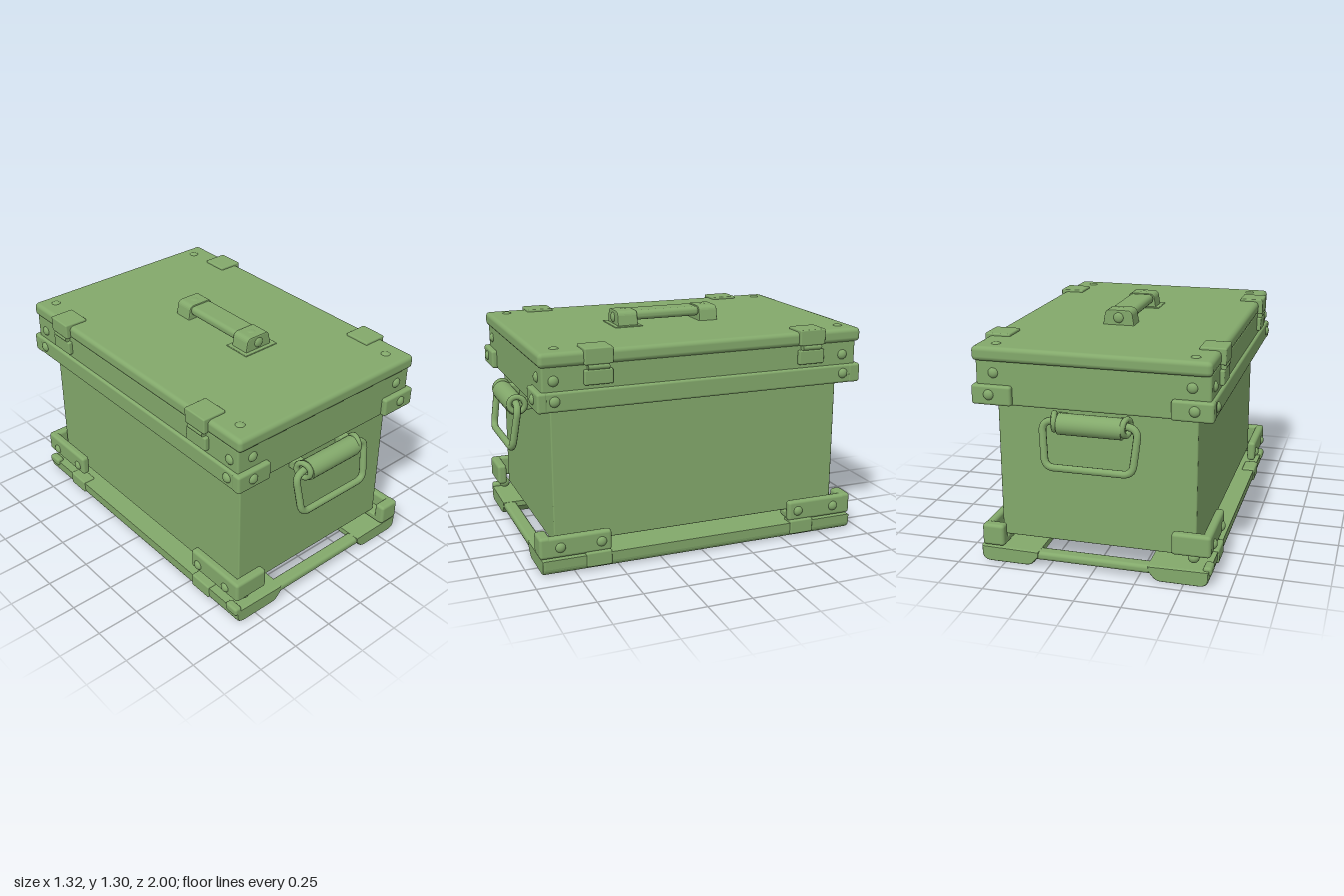
import * as THREE from 'three';
import { RoundedBoxGeometry } from 'three/addons/geometries/RoundedBoxGeometry.js';

const green = new THREE.MeshStandardMaterial({ color: 0x83a96b });
green.name = 'military green';

function add(parent, name, geometry, x = 0, y = 0, z = 0) {
  const mesh = new THREE.Mesh(geometry, green);
  mesh.name = name;
  mesh.position.set(x, y, z);
  parent.add(mesh);
  return mesh;
}

// Rounded block given by its extents on each axis
function block(parent, name, [x0, x1], [y0, y1], [z0, z1], r = 0.012) {
  const w = x1 - x0, h = y1 - y0, d = z1 - z0;
  const radius = Math.min(r, w * 0.45, h * 0.45, d * 0.45);
  return add(parent, name, new RoundedBoxGeometry(w, h, d, 2, radius),
    (x0 + x1) / 2, (y0 + y1) / 2, (z0 + z1) / 2);
}

// Domed rivet whose head points along the given direction
function rivet(parent, x, y, z, dx, dy, dz, r = 0.029, height = 0.02) {
  const geometry = new THREE.SphereGeometry(r, 14, 6, 0, Math.PI * 2, 0, Math.PI / 2);
  geometry.scale(1, height / r, 1);
  const mesh = add(parent, 'rivet', geometry, x, y, z);
  mesh.quaternion.setFromUnitVectors(new THREE.Vector3(0, 1, 0), new THREE.Vector3(dx, dy, dz));
}

// Interval mirrored when s is -1
const span = (s, a, b) => (s > 0 ? [a, b] : [-b, -a]);

function createEndHandle() {
  const handle = new THREE.Group();
  handle.name = 'endHandle';
  // Roller grip
  const roller = add(handle, 'rollerGrip', new THREE.CylinderGeometry(0.057, 0.057, 0.345, 24), 0.003, 0.833, 0.935);
  roller.rotation.z = Math.PI / 2;
  // Hinge rings with mounting lugs
  for (const s of [-1, 1]) {
    const ring = add(handle, 'hingeRing', new THREE.TorusGeometry(0.043, 0.016, 8, 24), s * 0.193, 0.843, 0.935);
    ring.rotation.y = Math.PI / 2 - s * 0.25;
    block(handle, 'hingeLug', span(s, 0.14, 0.205), [0.81, 0.87], [0.83, 0.9], 0.01);
  }
  // Bent wire bail, its corners rounded by quadratic curves
  const corners = [[0.17, 0.855, 0.94], [0.258, 0.84, 0.945], [0.235, 0.605, 0.98],
    [-0.235, 0.605, 0.98], [-0.258, 0.84, 0.945], [-0.17, 0.855, 0.94]]
    .map((p) => new THREE.Vector3(...p));
  const path = new THREE.CurvePath();
  let last = corners[0];
  for (let i = 1; i < corners.length - 1; i++) {
    const c = corners[i];
    const toward = (p) => c.clone().add(p.clone().sub(c).setLength(0.05));
    const a = toward(corners[i - 1]), b = toward(corners[i + 1]);
    path.add(new THREE.LineCurve3(last, a));
    path.add(new THREE.QuadraticBezierCurve3(a, c, b));
    last = b;
  }
  path.add(new THREE.LineCurve3(last, corners[corners.length - 1]));
  add(handle, 'bail', new THREE.TubeGeometry(path, 90, 0.02, 10));
  return handle;
}

function createTopHandle() {
  const handle = new THREE.Group();
  handle.name = 'topHandle';
  // Tapered end blocks
  for (const [z0, z1] of [[0.2, 0.32], [-0.295, -0.18]]) {
    const shape = new THREE.Shape();
    shape.moveTo(-0.085, 0);
    shape.lineTo(-0.075, 0.06);
    shape.quadraticCurveTo(-0.07, 0.08, -0.05, 0.08);
    shape.lineTo(0.05, 0.08);
    shape.quadraticCurveTo(0.07, 0.08, 0.075, 0.06);
    shape.lineTo(0.085, 0);
    const geometry = new THREE.ExtrudeGeometry(shape, {
      depth: z1 - z0 - 0.016, bevelThickness: 0.008, bevelSize: 0.006, bevelSegments: 2, curveSegments: 5,
    });
    add(handle, 'handleEnd', geometry, 0.033, 1.215, z0 + 0.008);
    rivet(handle, 0.033, 1.298, (z0 + z1) / 2, 0, 1, 0, 0.026, 0.006);
  }
  rivet(handle, 0.033, 1.258, 0.318, 0, 0, 1, 0.03, 0.015);
  rivet(handle, 0.033, 1.258, -0.293, 0, 0, -1, 0.03, 0.015);
  // Flattened grip
  block(handle, 'grip', [-0.042, 0.105], [1.243, 1.298], [-0.19, 0.21], 0.024);
  block(handle, 'handlePad', [-0.08, 0.15], [1.212, 1.222], [0.18, 0.345], 0.004);
  return handle;
}

function createLatch(s, z) {
  const latch = new THREE.Group();
  latch.name = 'latch';
  block(latch, 'latchTop', span(s, 0.515, 0.655), [1.2, 1.231], [z - 0.078, z + 0.078], 0.008);
  block(latch, 'latchFlap', span(s, 0.625, 0.657), [1.142, 1.231], [z - 0.078, z + 0.078], 0.008);
  block(latch, 'latchPlate', span(s, 0.62, 0.65), [1.035, 1.115], [z - 0.078, z + 0.078], 0.008);
  const pin = add(latch, 'latchPin', new THREE.CylinderGeometry(0.017, 0.017, 0.115, 12), s * 0.64, 1.13, z);
  pin.rotation.x = Math.PI / 2;
  return latch;
}

export function createModel() {
  const model = new THREE.Group();
  model.name = 'storageCrate';

  // Box body, collar and lid
  block(model, 'body', [-0.55, 0.535], [0.135, 1.0], [-0.86, 0.84], 0.008);
  block(model, 'collar', [-0.625, 0.625], [0.903, 1.15], [-0.925, 0.905], 0.012);
  block(model, 'lid', [-0.63, 0.64], [1.138, 1.217], [-0.95, 0.922], 0.025);

  // Skids along both sides, joined by end rails
  for (const s of [-1, 1]) {
    const outline = new THREE.Shape();
    outline.moveTo(0.31, 0.055);
    outline.lineTo(0.34, 0.02);
    outline.quadraticCurveTo(0.355, 0.005, 0.38, 0.005);
    outline.lineTo(0.58, 0.005);
    outline.quadraticCurveTo(0.625, 0.005, 0.628, 0.04);
    outline.lineTo(0.63, 0.085);
    outline.lineTo(0.31, 0.08);
    const geometry = new THREE.ExtrudeGeometry(outline, {
      depth: 1.84, bevelThickness: 0.015, bevelSize: 0.005, bevelSegments: 2, curveSegments: 6,
    });
    const skid = add(model, 'skid', geometry, 0, 0, s > 0 ? -0.925 : 0.915);
    if (s < 0) skid.rotation.y = Math.PI;
    block(model, 'endRail', [-0.34, 0.34], [0.036, 0.084], s > 0 ? [0.85, 0.928] : [-0.938, -0.86], 0.02);
  }
  // Raised lips on the right-hand skid ends
  for (const s of [-1, 1]) block(model, 'skidLip', [-0.648, -0.6], [0.06, 0.11], span(s, 0.84, 0.93), 0.015);

  for (const e of [-1, 1]) {
    // Ends of the crate: handle, collar brackets and rivets
    const handle = createEndHandle();
    if (e < 0) handle.rotation.y = Math.PI;
    model.add(handle);
    const end = e > 0 ? 0 : 0.018;
    for (const s of [-1, 1]) {
      block(model, 'collarBracket', span(s, 0.425, 0.645), [0.905, 1.012], span(e, 0.88, 0.935 + end), 0.014);
      rivet(model, s * 0.547, 0.963, e * (0.932 + end), 0, 0, e);
      rivet(model, s * 0.528, 1.075, e * (0.902 + end), 0, 0, e);
      // Side rivets and lid rivets
      rivet(model, s * 0.64, 0.963, e * 0.842, s, 0, 0);
      rivet(model, s * 0.622, 1.068, e * 0.842, s, 0, 0);
      rivet(model, s * 0.53, 1.214, e > 0 ? 0.81 : -0.86, 0, 1, 0, 0.027, 0.012);
      model.add(createLatch(s, e > 0 ? 0.605 : -0.635));
    }

    // Low L-shaped foot brackets on the left side
    const left = new THREE.Group();
    left.name = 'leftFootBracket';
    block(left, 'bracketSide', [0.578, 0.625], [0.095, 0.215], span(e, 0.54, 0.945), 0.018);
    block(left, 'bracketEnd', [0.5, 0.625], [0.095, 0.218], span(e, 0.88, 0.945), 0.018);
    block(left, 'bracketBase', [0.5, 0.61], [0.097, 0.135], span(e, 0.55, 0.93), 0.01);
    for (const z of [0.83, 0.6]) rivet(left, 0.622, 0.155, e * z, 1, 0, 0);
    block(left, 'skidClip', [0.56, 0.642], [0.02, 0.105], span(e, 0.545, 0.69), 0.01);
    model.add(left);

    // Higher brackets on the right side, with a bolt underneath
    const right = new THREE.Group();
    right.name = 'rightFootBracket';
    block(right, 'bracketSide', [-0.64, -0.59], [0.16, 0.282], span(e, 0.54, 0.93), 0.018);
    block(right, 'bracketEnd', [-0.64, -0.428], [0.16, 0.282], span(e, 0.875, 0.93), 0.018);
    for (const z of [0.83, 0.6]) rivet(right, -0.637, 0.205, e * z, -1, 0, 0);
    add(right, 'underBolt', new THREE.SphereGeometry(0.032, 14, 10), -0.54, 0.135, e * 0.87);
    block(right, 'skidClip', [-0.642, -0.56], [0.02, 0.1], span(e, 0.545, 0.69), 0.01);
    model.add(right);
  }

  // Full-length straps below the collar on both sides
  for (const s of [-1, 1]) block(model, 'sideStrap', span(s, 0.59, 0.642), [0.905, 1.012], [-0.95, 0.932], 0.014);

  model.add(createTopHandle());
  return model;
}
